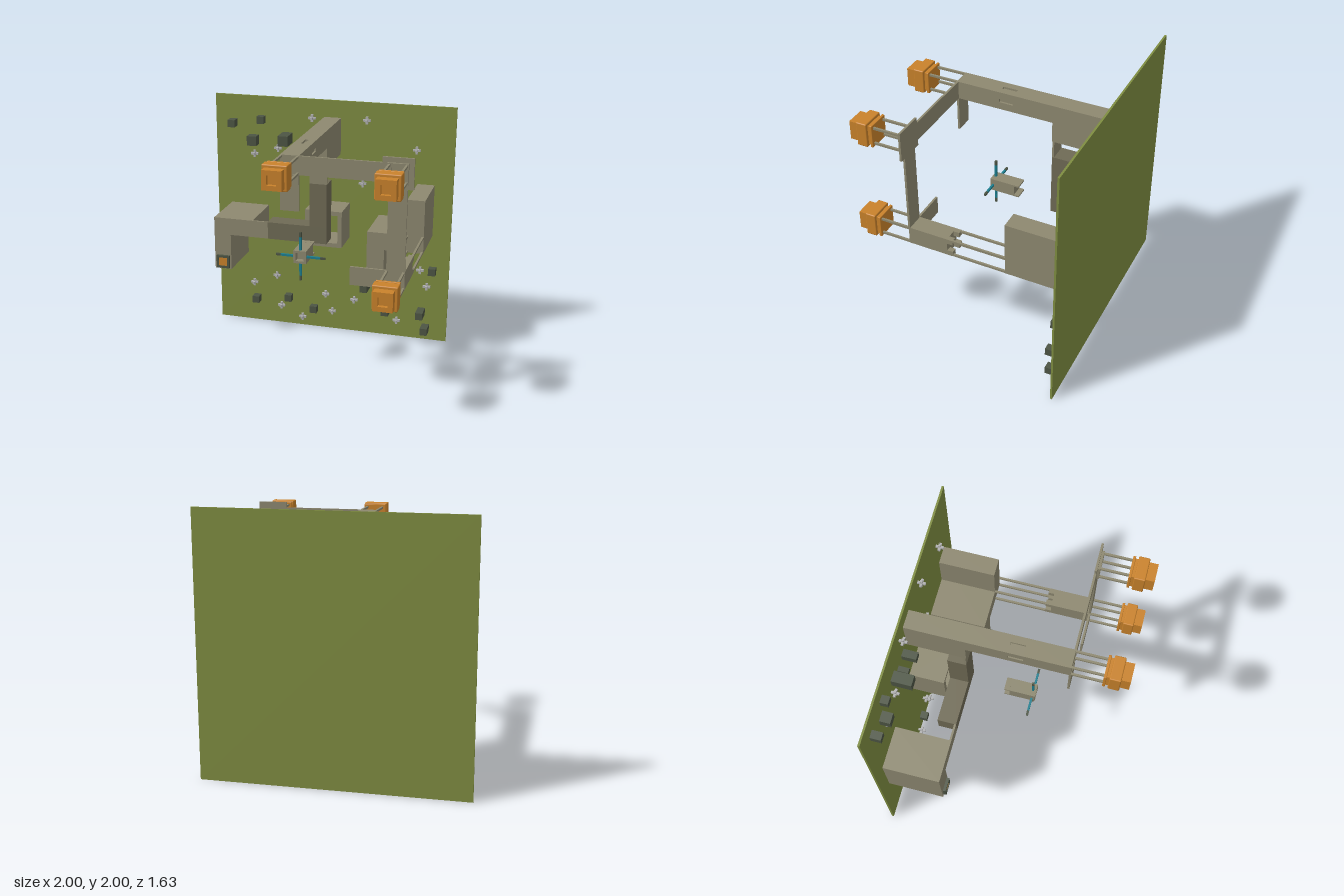
import * as THREE from 'three';
import { RoundedBoxGeometry } from 'three/addons/geometries/RoundedBoxGeometry.js';

const mat = (color) => new THREE.MeshStandardMaterial({ color });

export function createModel() {
  const root = new THREE.Group();
  const green = mat(0x7f8d41), stone = mat(0x8d8870), brown = mat(0x6f6a55);
  const orange = mat(0xc9822b), dark = mat(0x4d5544), teal = mat(0x1c7f90), pale = mat(0xb0b0b0);

  const group = (name, parent = root) => {
    const g = new THREE.Group();
    g.name = name;
    parent.add(g);
    return g;
  };
  const add = (name, geo, material, parent = root) => {
    const m = new THREE.Mesh(geo, material);
    m.name = name;
    parent.add(m);
    return m;
  };
  // box given by its limits on each axis
  const box = (name, x0, x1, y0, y1, z0, z1, material = stone, parent = root, bevel = 0) => {
    const size = [x1 - x0, y1 - y0, z1 - z0];
    const geo = bevel ? new RoundedBoxGeometry(...size, 2, bevel) : new THREE.BoxGeometry(...size);
    const m = add(name, geo, material, parent);
    m.position.set((x0 + x1) / 2, (y0 + y1) / 2, (z0 + z1) / 2);
    return m;
  };
  const square = (name, x, y, h, z0, z1, material, parent, bevel) =>
    box(name, x - h, x + h, y - h, y + h, z0, z1, material, parent, bevel);
  const rect = (path, w, h) => path.moveTo(-w, -h).lineTo(w, -h).lineTo(w, h).lineTo(-w, h).closePath();
  // flat panel with a rectangular hole, half sizes in its own plane
  const holed = (w, h, hw, hh, depth) => {
    const shape = rect(new THREE.Shape(), w, h);
    shape.holes.push(rect(new THREE.Path(), hw, hh));
    return new THREE.ExtrudeGeometry(shape, { depth, bevelEnabled: false });
  };
  const ring = (name, x, y, outer, inner, z0, z1, material, parent) =>
    add(name, holed(outer, outer, inner, inner, z1 - z0), material, parent).position.set(x, y, z0);
  // four thin rods on the corners of a square
  const rods = (name, x, y, z0, z1) => {
    const g = group(name);
    for (const sx of [-1, 1]) for (const sy of [-1, 1])
      square('rod', x + sx * 0.061, y + sy * 0.061, 0.008, z0, z1, stone, g);
  };

  // backing board
  box('board', -1, 1, 0, 2, -0.815, -0.8, green);

  // upper beam with a deeper root and slotted panels
  const beam = group('upperBeam');
  box('beamRoot', -0.07, 0.07, 1.56, 1.86, -0.8, -0.36, stone, beam);
  box('beamBody', -0.07, 0.07, 1.72, 1.86, -0.36, -0.1, stone, beam);
  box('beamCore', -0.055, 0.055, 1.735, 1.845, -0.1, 0.4, stone, beam);
  for (let i = 0; i < 4; i++) {
    const side = group('slottedSide', beam);
    side.position.set(0, 1.79, 0);
    side.rotation.z = i * Math.PI / 2;
    const y0 = 0.055, y1 = 0.07;
    box('sideRear', -0.07, 0.07, y0, y1, -0.1, -0.05, stone, side);
    box('sideFront', -0.07, 0.07, y0, y1, 0.06, 0.4, stone, side);
    for (const s of [-1, 1])
      box('sideStrip', s * 0.0415 - 0.0285, s * 0.0415 + 0.0285, y0, y1, -0.05, 0.06, stone, side);
  }

  // lower right beam: solid root, open rods, notched front length
  const right = group('rightBeam');
  box('rootUpright', 0.71, 0.85, 1.07, 1.36, -0.8, -0.365, stone, right);
  box('rootBar', 0.40, 0.85, 0.93, 1.07, -0.8, -0.365, stone, right);
  box('rootFoot', 0.40, 0.54, 0.63, 0.93, -0.8, -0.365, stone, right);
  box('frontLength', 0.71, 0.85, 0.93, 1.07, 0.09, 0.4, stone, right);
  for (const sx of [-1, 1]) for (const sy of [-1, 1])
    square('notchCorner', 0.78 + sx * 0.05, 1 + sy * 0.05, 0.02, 0.045, 0.09, stone, right);
  rods('middleRods', 0.78, 1, -0.365, 0.05);

  // left angled block with thin bridge
  const left = group('leftBlock');
  box('leftBar', -0.88, -0.55, 0.93, 1.07, -0.8, -0.365, stone, left);
  box('leftFoot', -0.88, -0.74, 0.63, 0.93, -0.8, -0.365, stone, left);
  box('leftBridge', -0.55, -0.42, 0.93, 1.07, -0.38, -0.365, stone, left);

  // darker elbow and its upper bridge
  const elbow = group('elbow');
  box('elbowArm', -0.42, 0.07, 0.93, 1.07, -0.51, -0.365, brown, elbow);
  box('elbowUpright', -0.07, 0.07, 1.07, 1.425, -0.51, -0.365, brown, elbow);
  box('upperBridge', -0.07, 0.07, 1.425, 1.56, -0.38, -0.365, stone, elbow);

  // square collar on the board
  ring('collar', 0, 1, 0.153, 0.118, -0.8, -0.53, stone);

  // flat linking frame across the front
  const frame = group('frontFrame');
  const f0 = 0.388, f1 = 0.404;
  box('topLink', 0.07, 0.68, 1.72, 1.86, f0, f1, stone, frame);
  box('hangingEnd', -0.07, 0.07, 1.45, 1.72, f0, f1, stone, frame);
  box('sideLink', 0.715, 0.85, 1.07, 1.68, f0, f1, stone, frame);
  box('bottomLink', 0.45, 0.715, 0.93, 1.07, f0, f1, stone, frame);
  square('cornerPlate', 0.78, 1.79, 0.112, f0, f1, stone, frame);
  ring('cornerRim', 0.78, 1.79, 0.075, 0.045, f1, 0.422, stone, frame);

  // orange end blocks on four rods
  for (const [x, y] of [[0, 1.79], [0.78, 1.79], [0.78, 1]]) {
    rods('endRods', x, y, 0.4, 0.64);
    const g = group('endBlock');
    square('flange', x, y, 0.086, 0.628, 0.648, orange, g, 0.004);
    square('neck', x, y, 0.074, 0.645, 0.675, orange, g);
    square('body', x, y, 0.092, 0.668, 0.75, orange, g, 0.008);
    square('recessFloor', x, y, 0.06, 0.745, 0.785, orange, g);
    ring('cap', x, y, 0.071, 0.035, 0.748, 0.815, orange, g);
  }

  // central nozzle with cross rods
  const nozzle = group('nozzle');
  square('nozzleBody', 0, 1, 0.05, -0.05, 0.1, stone, nozzle);
  ring('nozzleMouth', 0, 1, 0.05, 0.032, 0.1, 0.15, stone, nozzle);
  for (const s of [-1, 1]) box('nozzleTail', -0.05, 0.05, 1 + s * 0.045 - 0.006, 1 + s * 0.045 + 0.006, -0.09, -0.05, stone, nozzle);
  for (let i = 0; i < 4; i++) {
    const arm = group('crossArm', nozzle);
    arm.position.set(0, 1, 0.125);
    arm.rotation.z = i * Math.PI / 2;
    box('armRod', 0.05, 0.155, -0.008, 0.008, -0.008, 0.008, teal, arm);
    box('armTip', 0.155, 0.193, -0.008, 0.008, -0.008, 0.008, dark, arm);
  }

  // lamps on the two feet
  for (const x of [-0.807, 0.473]) {
    const lamp = group('lamp');
    ring('lampRim', x, 0.695, 0.054, 0.036, -0.37, -0.343, dark, lamp);
    square('lampCentre', x, 0.695, 0.038, -0.37, -0.35, orange, lamp);
  }

  // dark studs on the board: x, y, half size, front z
  const studs = [
    [-0.845, 1.77, 0.03, -0.72], [-0.6, 1.81, 0.03, -0.74], [-0.67, 1.635, 0.04, -0.72],
    [-0.38, 1.67, 0.042, -0.65], [-0.28, 1.59, 0.02, -0.72], [-0.165, 1.6, 0.03, -0.69],
    [0.865, 0.63, 0.03, -0.74], [0.31, 0.445, 0.03, -0.67], [0.475, 0.39, 0.035, -0.65],
    [0.42, 0.31, 0.02, -0.74], [0.495, 0.255, 0.03, -0.67], [0.785, 0.255, 0.03, -0.67],
    [0.825, 0.11, 0.03, -0.69], [-0.145, 0.175, 0.03, -0.74], [-0.37, 0.255, 0.03, -0.74],
    [-0.66, 0.215, 0.03, -0.73],
  ];
  for (const [x, y, h, z] of studs) square('stud', x, y, h, -0.8, z, dark);

  // pale three-way crosses on the board
  const crosses = [
    [-0.165, 1.85], [-0.66, 1.52], [-0.455, 1.58], [0.265, 1.335], [0.765, 0.63], [0.825, 0.49],
    [-0.475, 0.45], [-0.68, 0.365], [-0.04, 0.325], [0.21, 0.3], [0.02, 0.175], [-0.435, 0.175],
    [-0.245, 0.09], [0.58, 0.155], [0.29, 1.86], [0.70, 1.645],
  ];
  for (const [x, y] of crosses) {
    const g = group('smallCross');
    g.position.set(x, y, -0.77);
    const a = 0.031, b = 0.009;
    box('crossBar', -a, a, -b, b, -b, b, pale, g);
    box('crossPost', -b, b, -a, a, -b, b, pale, g);
    box('crossStem', -b, b, -b, b, -a, a, pale, g);
  }
  return root;
}
